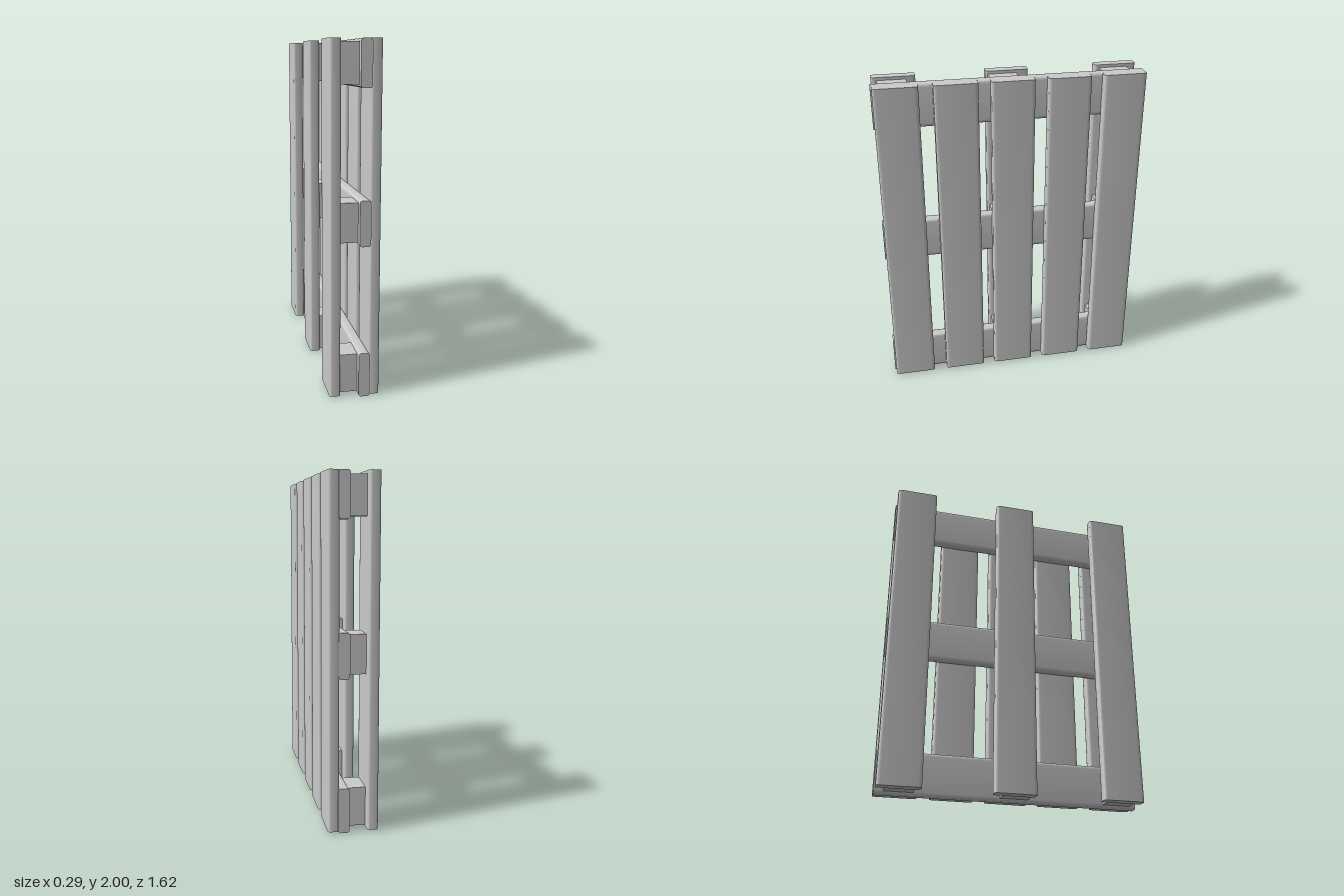
import * as THREE from 'three';
import { toCreasedNormals } from 'three/addons/utils/BufferGeometryUtils.js';

// Board running along z, centred, with eased long edges: thickness in x, width in y
function boardGeometry(thickness, width, length) {
  const a = thickness / 2, b = width / 2, ex = 0.014, ey = 0.022;
  const s = new THREE.Shape();
  s.moveTo(a, -b + ey);
  s.lineTo(a, b - ey);
  s.quadraticCurveTo(a, b, a - ex, b);
  s.lineTo(-a + ex, b);
  s.quadraticCurveTo(-a, b, -a, b - ey);
  s.lineTo(-a, -b + ey);
  s.quadraticCurveTo(-a, -b, -a + ex, -b);
  s.lineTo(a - ex, -b);
  s.quadraticCurveTo(a, -b, a, -b + ey);
  const geo = new THREE.ExtrudeGeometry(s, { depth: length, bevelEnabled: false, curveSegments: 4 });
  geo.translate(0, 0, -length / 2);
  return toCreasedNormals(geo, 0.6);
}

export function createModel() {
  const model = new THREE.Group();
  model.name = 'pallet';
  const wood = new THREE.MeshStandardMaterial({ color: 0xcccccc });

  const add = (name, geo, x, y, z) => {
    const mesh = new THREE.Mesh(geo, wood);
    mesh.name = name;
    mesh.position.set(x, y, z);
    model.add(mesh);
  };

  const upright = boardGeometry(0.064, 0.258, 1.99).rotateX(-Math.PI / 2);
  const cross = boardGeometry(0.064, 0.258, 1.615);
  const block = new THREE.BoxGeometry(0.104, 0.224, 0.172);
  const rows = [0.131, 1.007, 1.87];

  // Five deck boards
  [-0.675, -0.34, -0.003, 0.33, 0.671].forEach((z, i) =>
    add(`deckBoard${i + 1}`, upright, 0.11, 1.005, z));

  // Three cross boards behind the deck
  rows.forEach((y, i) => add(`crossBoard${i + 1}`, cross, 0.053, y, 0));

  // Three base boards
  [-0.68, -0.005, 0.668].forEach((z, i) =>
    add(`baseBoard${i + 1}`, upright, -0.113, 1.005, z));

  // Nine spacer blocks between base and cross boards
  rows.forEach((y, i) => [-0.665, 0.025, 0.68].forEach((z, j) =>
    add(`spacerBlock${i * 3 + j + 1}`, block, -0.03, y, z)));

  return model;
}
